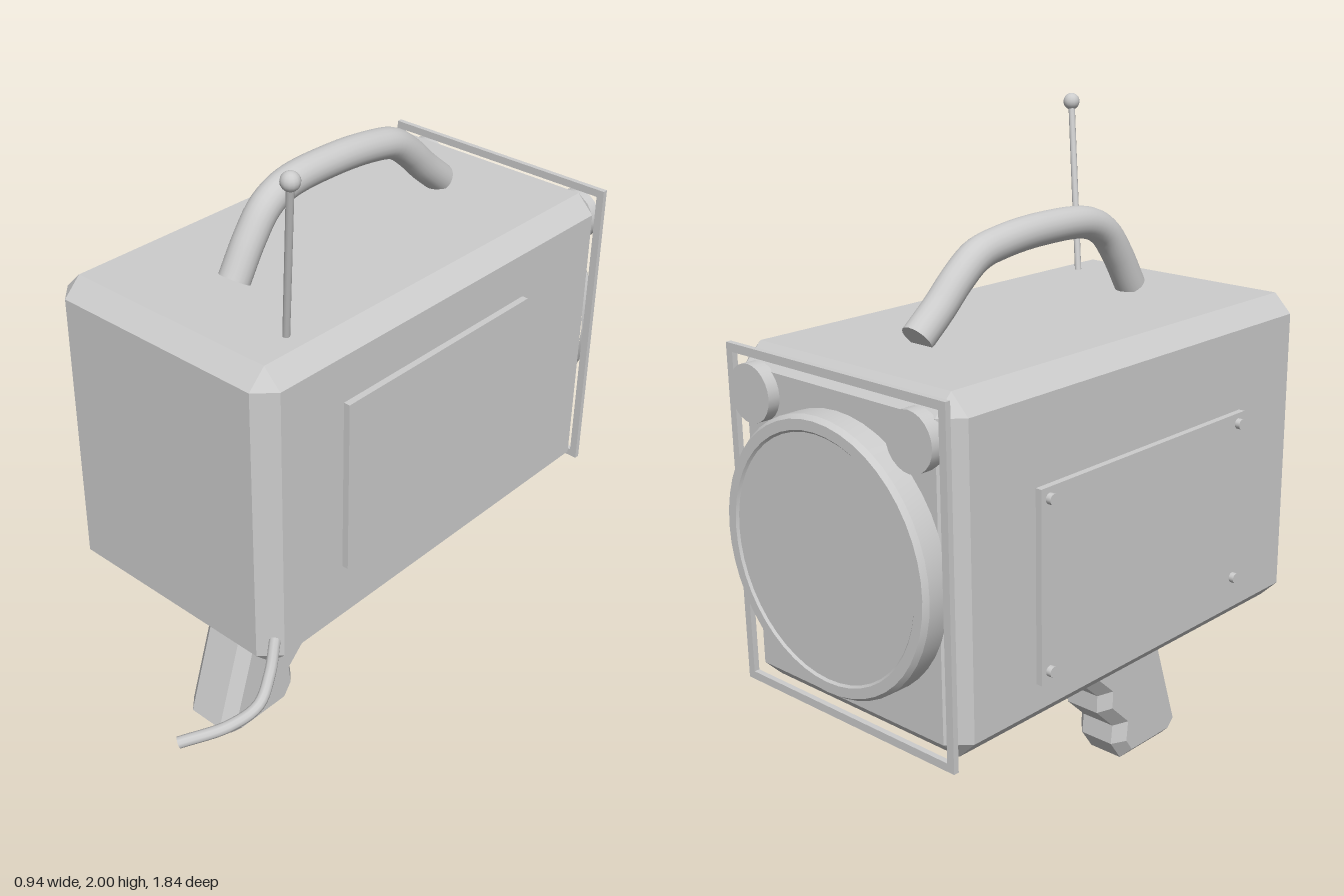
import * as THREE from 'three';
import { toCreasedNormals } from 'three/addons/utils/BufferGeometryUtils.js';
import { ConvexGeometry } from 'three/addons/geometries/ConvexGeometry.js';

const CX = -0.043; // middle of the case in x
const v = (x, y, z) => new THREE.Vector3(x, y, z);

// Box with all twelve edges chamfered by c
function chamferBox(w, h, d, c) {
  const pts = [];
  for (const sx of [-1, 1]) for (const sy of [-1, 1]) for (const sz of [-1, 1]) {
    const x = w / 2, y = h / 2, z = d / 2;
    pts.push(
      v(sx * x, sy * (y - c), sz * (z - c)),
      v(sx * (x - c), sy * y, sz * (z - c)),
      v(sx * (x - c), sy * (y - c), sz * z));
  }
  return new ConvexGeometry(pts);
}

// Side profile given as [z, y], extruded across x with a chamfered edge
function sideExtrude(profile, width, bevel) {
  const shape = new THREE.Shape(profile.map(([z, y]) => new THREE.Vector2(-z, y)));
  const geo = new THREE.ExtrudeGeometry(shape, {
    depth: width - 2 * bevel, bevelEnabled: true, bevelSegments: 1,
    bevelSize: bevel, bevelThickness: bevel, bevelOffset: -bevel,
  });
  return geo.translate(0, 0, -(width - 2 * bevel) / 2).rotateY(Math.PI / 2).translate(CX, 0, 0);
}

// Round bar along a smooth path, with closed ends
function bar(points, radius, segments, sides) {
  const curve = new THREE.CatmullRomCurve3(points, false, 'centripetal');
  const group = [new THREE.TubeGeometry(curve, segments, radius, sides)];
  for (const t of [0, 1]) {
    const dir = curve.getTangent(t).multiplyScalar(t ? 1 : -1);
    const cap = new THREE.CircleGeometry(radius, sides);
    cap.applyQuaternion(new THREE.Quaternion().setFromUnitVectors(v(0, 0, 1), dir));
    const p = curve.getPoint(t);
    group.push(cap.translate(p.x, p.y, p.z));
  }
  return group;
}

export function createModel() {
  const model = new THREE.Group();
  const grey = new THREE.MeshStandardMaterial({ color: 0xcccccc });
  grey.name = 'grey';

  const add = (name, geometry, x = 0, y = 0, z = 0) => {
    const mesh = new THREE.Mesh(geometry, grey);
    mesh.name = name;
    mesh.position.set(x, y, z);
    model.add(mesh);
    return mesh;
  };
  const addBar = (name, ...args) => {
    const group = new THREE.Group();
    group.name = name;
    bar(...args).forEach((g) => group.add(new THREE.Mesh(g, grey)));
    model.add(group);
  };

  // Case
  add('case', chamferBox(0.795, 0.947, 1.425, 0.054), CX, 1.014, -0.133);

  // Thin square frame around the back
  const rect = (P, w, h) => new P([[-w, -h], [w, -h], [w, h], [-w, h]].map(([x, y]) => new THREE.Vector2(x, y)));
  const frame = rect(THREE.Shape, 0.395, 0.474);
  frame.holes.push(rect(THREE.Path, 0.372, 0.451));
  add('backFrame', new THREE.ExtrudeGeometry(frame, { depth: 0.016, bevelEnabled: false }), CX, 1.014, -0.862);

  // Large round lens with a raised rim
  const lens = new THREE.LatheGeometry(
    [[0.37, 0], [0.37, 0.06], [0.36, 0.074], [0.332, 0.074], [0.326, 0.068], [0, 0.068]]
      .map(([r, y]) => new THREE.Vector2(r, y)), 48);
  lens.rotateX(-Math.PI / 2);
  add('backLens', toCreasedNormals(lens, 0.5), CX - 0.003, 1.013, -0.846);

  // Two knobs in the upper corners of the back
  for (const side of [-1, 1]) {
    const knob = new THREE.CylinderGeometry(0.078, 0.078, 0.04, 24).rotateX(Math.PI / 2);
    add('backKnob', knob, CX + side * 0.29, 1.375, -0.86);
  }

  // Side panels; the right one is held by four bolts
  add('leftPanel', new THREE.BoxGeometry(0.03, 0.53, 0.76), 0.359, 1.031, -0.085);
  add('rightPanel', new THREE.BoxGeometry(0.03, 0.53, 0.852), -0.444, 0.937, -0.139);
  for (const y of [0.705, 1.172]) for (const z of [-0.534, 0.258]) {
    const bolt = new THREE.CylinderGeometry(0.015, 0.015, 0.02, 12).rotateZ(Math.PI / 2);
    add('panelBolt', bolt, -0.464, y, z);
  }

  // Carrying handle
  addBar('handle', [
    [0.285, 1.502], [0.225, 1.6], [0.165, 1.672], [0.09, 1.708], [-0.1, 1.718], [-0.26, 1.705],
    [-0.35, 1.684], [-0.42, 1.635], [-0.49, 1.57], [-0.568, 1.506],
  ].map(([z, y]) => v(CX, y, z)), 0.045, 48, 20);

  // Antenna with a ball tip
  addBar('antenna', [v(0.24, 1.48, 0.385), v(0.355, 1.975, 0.484)], 0.01, 1, 10);
  add('antennaTip', new THREE.SphereGeometry(0.025, 14, 10), 0.355, 1.975, 0.484);

  // Loose cable at the front left corner
  addBar('cable', [
    v(0.352, 0.667, 0.56), v(0.415, 0.645, 0.645), v(0.45, 0.613, 0.725),
    v(0.42, 0.576, 0.8), v(0.338, 0.538, 0.905),
  ], 0.016, 28, 10);

  // Pistol grip with finger grooves
  add('grip', sideExtrude([
    [0.31, 0.542], [0.466, 0.055], [0.418, 0.002], [0.2, 0.002], [0.154, 0.068], [0.161, 0.13],
    [0.084, 0.205], [0.086, 0.262], [0, 0.342], [0.012, 0.542],
  ], 0.185, 0.034));

  // Trigger guard
  add('triggerGuard', sideExtrude([
    [0.03, 0.335], [-0.04, 0.305], [-0.11, 0.298], [-0.18, 0.303], [-0.25, 0.325], [-0.3, 0.365],
    [-0.325, 0.42], [-0.333, 0.55], [-0.26, 0.55], [-0.255, 0.44], [-0.235, 0.4], [-0.19, 0.373],
    [-0.11, 0.365], [-0.04, 0.375], [0.03, 0.4],
  ], 0.08, 0.012));

  // Trigger
  add('trigger', sideExtrude([
    [-0.125, 0.55], [-0.142, 0.5], [-0.138, 0.47], [-0.118, 0.435], [-0.155, 0.408],
    [-0.166, 0.47], [-0.168, 0.5], [-0.187, 0.55],
  ], 0.05, 0.006));

  return model;
}
